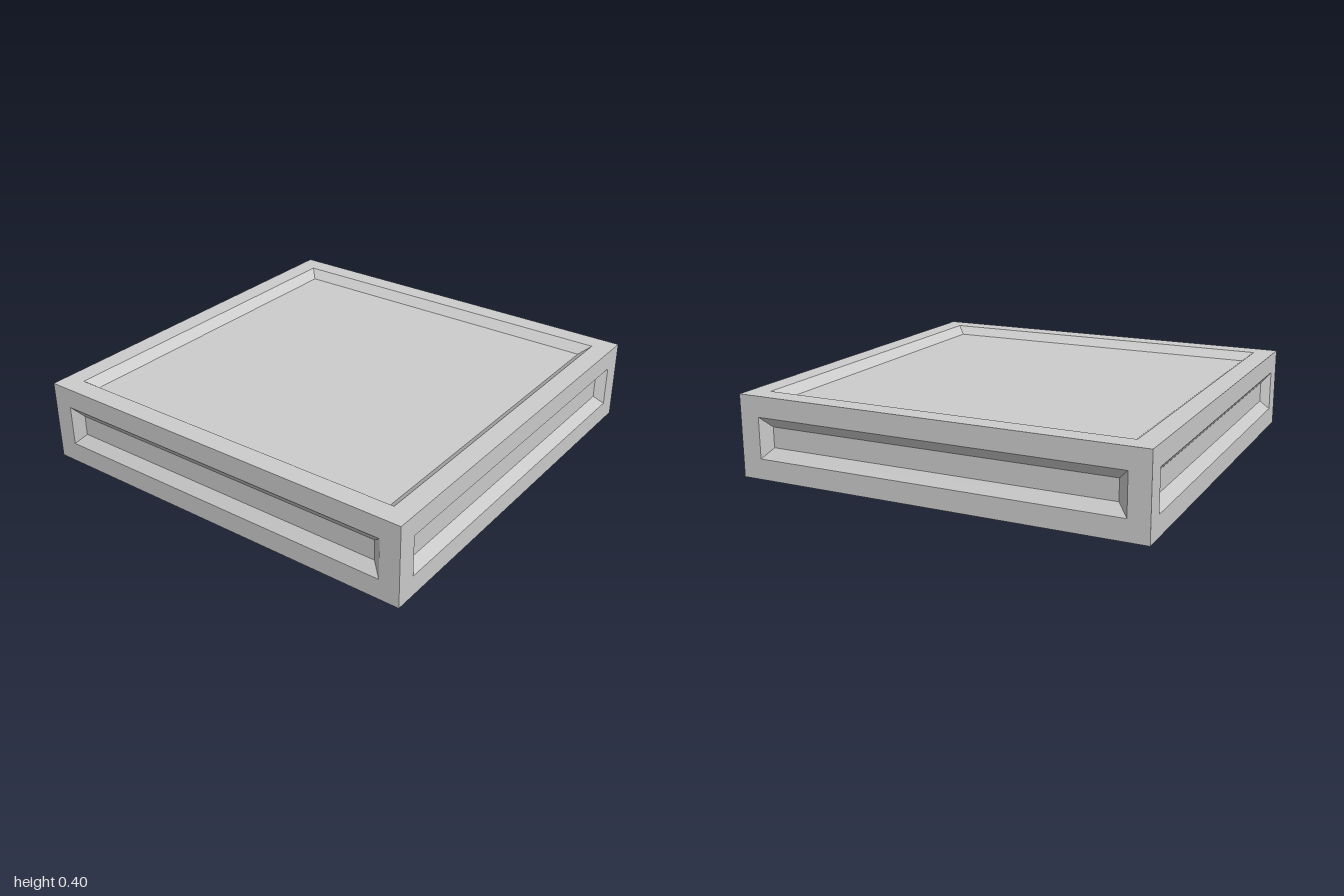
import * as THREE from 'three';

const MARGIN = 0.1;  // flat rim around each panel
const BEVEL = 0.05;  // width of the sloped border
const DEPTH = 0.04;  // how far the panel is sunk

// One slab face in the XY plane facing +z: flat rim, sloped border, sunken floor
function panelGeometry(width, height) {
  const ring = (inset, z) => {
    const x = width / 2 - inset, y = height / 2 - inset;
    return [[-x, -y, z], [x, -y, z], [x, y, z], [-x, y, z]];
  };
  const rings = [ring(0, 0), ring(MARGIN, 0), ring(MARGIN + BEVEL, -DEPTH)];
  const positions = [];
  const quad = (a, b, c, d) => positions.push(...a, ...b, ...c, ...a, ...c, ...d);

  for (let r = 0; r < 2; r++) {
    for (let i = 0; i < 4; i++) {
      const j = (i + 1) % 4;
      quad(rings[r][i], rings[r][j], rings[r + 1][j], rings[r + 1][i]);
    }
  }
  quad(...rings[2]);

  const geometry = new THREE.BufferGeometry();
  geometry.setAttribute('position', new THREE.Float32BufferAttribute(positions, 3));
  geometry.computeVertexNormals();
  return geometry;
}

export function createModel() {
  const model = new THREE.Group();
  model.name = 'panelledSlab';
  const material = new THREE.MeshStandardMaterial({ color: 0xcccccc, flatShading: true });
  const size = 2, height = 0.4;

  const addPanel = (name, panelHeight, offset, rotX, rotY) => {
    const mesh = new THREE.Mesh(panelGeometry(size, panelHeight), material);
    mesh.name = name;
    mesh.rotation.set(rotX, rotY, 0);
    mesh.position.set(0, 0, offset).applyEuler(mesh.rotation);
    mesh.position.y += height / 2;
    model.add(mesh);
  };

  // Four sides
  ['frontPanel', 'leftPanel', 'backPanel', 'rightPanel'].forEach((name, i) =>
    addPanel(name, height, size / 2, 0, i * Math.PI / 2));

  // Top and bottom
  addPanel('topPanel', size, height / 2, -Math.PI / 2, 0);
  addPanel('bottomPanel', size, height / 2, Math.PI / 2, 0);

  return model;
}
